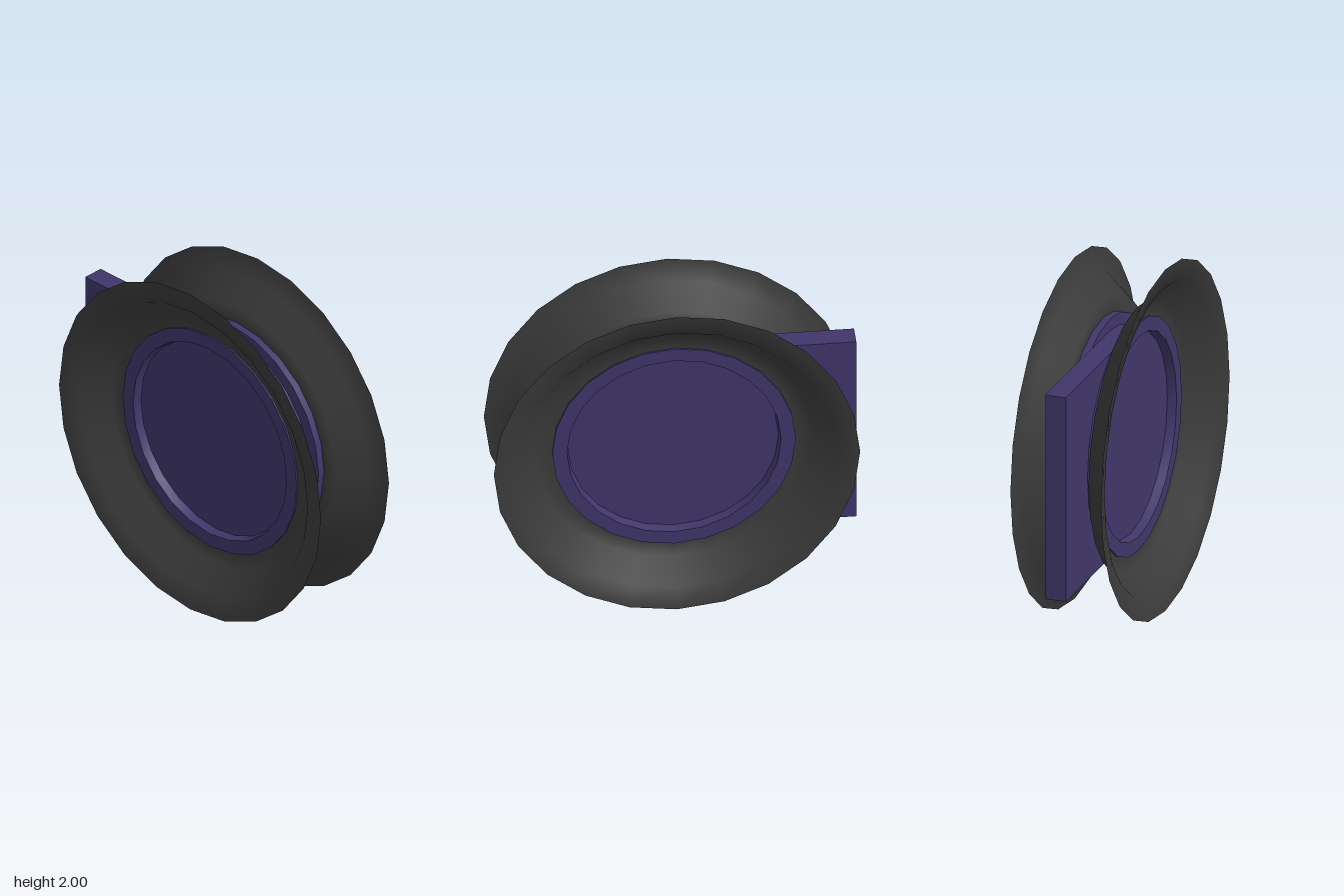
import * as THREE from 'three';
import { toCreasedNormals } from 'three/addons/utils/BufferGeometryUtils.js';

const SIDES = 24;
const RADIUS = 1;

export function createModel() {
  const group = new THREE.Group();
  const dark = new THREE.MeshStandardMaterial({ color: 0x3a3a3a, side: THREE.DoubleSide });
  const purple = new THREE.MeshStandardMaterial({ color: 0x40366a });

  const add = (name, geometry, material, parent) => {
    const mesh = new THREE.Mesh(geometry, material);
    mesh.name = name;
    parent.add(mesh);
    return mesh;
  };

  // Turns a [radius, z] profile around the wheel axis (z)
  const turned = (profile) =>
    new THREE.LatheGeometry(profile.map(([r, z]) => new THREE.Vector2(r, z)), SIDES)
      .rotateX(Math.PI / 2);

  // Thin flared dish and raised retaining ring, shared by both faces
  const dish = turned([[0.66, 0.1], [0.757, 0.1], [0.87, 0.235], [RADIUS, 0.262]]);
  const ring = toCreasedNormals(turned([
    [0.575, 0.058], [0.665, 0.058], [0.665, 0.11], [0.585, 0.11], [0.575, 0.058],
  ]), 0.6);

  for (const face of ['front', 'back']) {
    const side = new THREE.Group();
    side.name = face + 'Flange';
    if (face === 'back') side.rotation.y = Math.PI;
    add(face + 'Dish', dish, dark, side);
    add(face + 'Ring', ring, purple, side);
    group.add(side);
  }

  // Central hub disc
  const hub = new THREE.CylinderGeometry(0.597, 0.597, 0.12, SIDES).rotateX(Math.PI / 2);
  add('hub', hub, purple, group);

  // Flat tongue leaving the hub on the right side
  const tongue = add('tongue', new THREE.BoxGeometry(1, 1.194, 0.119), purple, group);
  tongue.position.x = -0.5;

  // Stand the wheel on the ground
  for (const part of group.children) part.position.y = RADIUS;
  return group;
}
